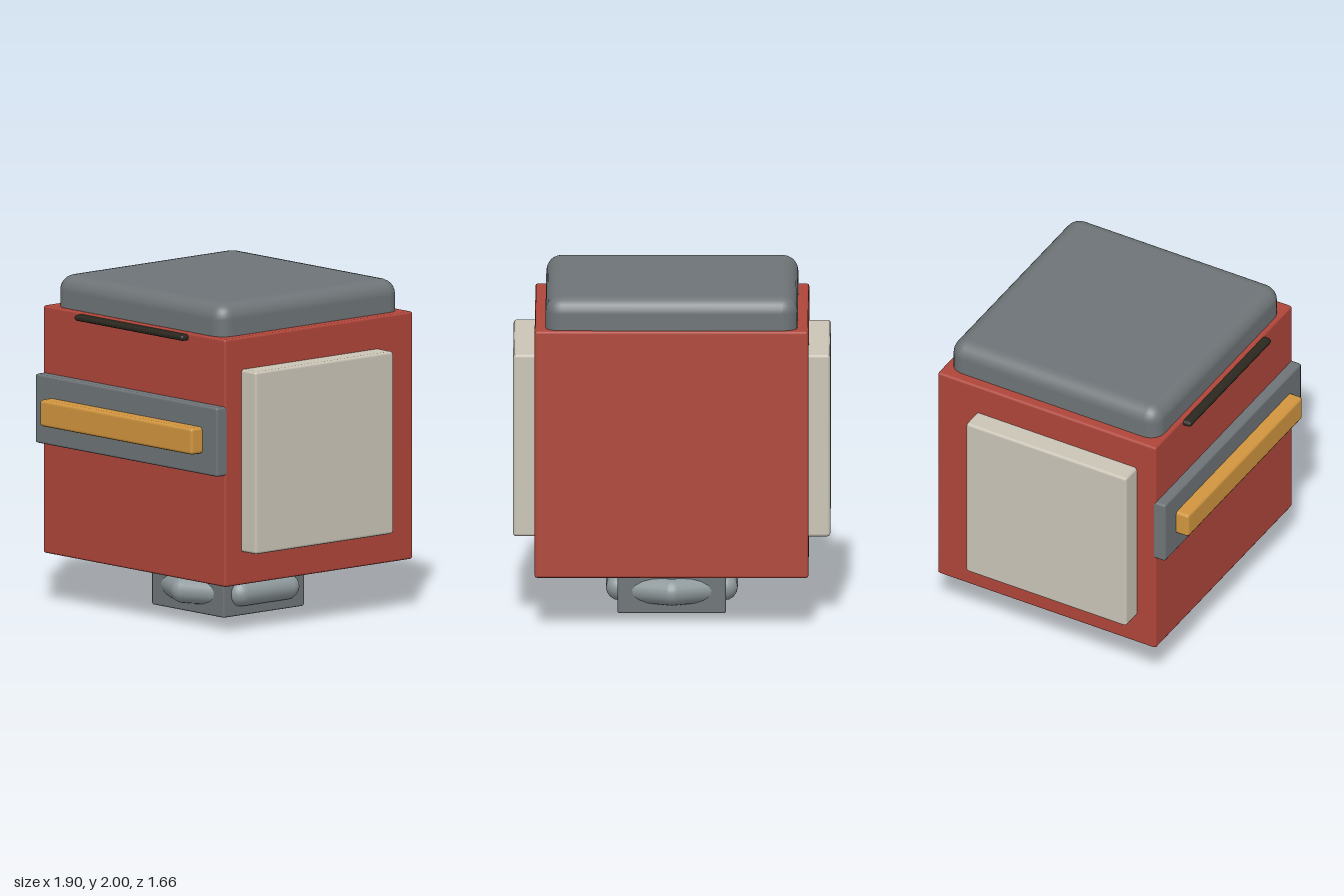
import * as THREE from 'three';
import { RoundedBoxGeometry } from 'three/addons/geometries/RoundedBoxGeometry.js';

const material = (name, color) => {
  const m = new THREE.MeshStandardMaterial({ color });
  m.name = name;
  return m;
};

export function createModel() {
  const group = new THREE.Group();
  const red = material('red', 0xb0463a);
  const grey = material('grey', 0x6e7477);
  const lightGrey = material('light grey', 0x8f999c);
  const cream = material('cream', 0xcbc5b7);
  const amber = material('amber', 0xd2963f);
  const black = material('black', 0x2b2820);

  // Bevelled box given by its limits on each axis
  function box(name, mat, [x0, x1], [y0, y1], [z0, z1], bevel, segments = 1) {
    const geo = new RoundedBoxGeometry(x1 - x0, y1 - y0, z1 - z0, segments, bevel);
    const mesh = new THREE.Mesh(geo, mat);
    mesh.name = name;
    mesh.position.set((x0 + x1) / 2, (y0 + y1) / 2, (z0 + z1) / 2);
    group.add(mesh);
  }

  // Capsule between two points, ends rounded beyond them
  function capsule(name, a, b, radius) {
    const from = new THREE.Vector3(...a), to = new THREE.Vector3(...b);
    const dir = to.clone().sub(from);
    const mesh = new THREE.Mesh(new THREE.CapsuleGeometry(radius, dir.length(), 6, 16), lightGrey);
    mesh.name = name;
    mesh.position.copy(from).add(to).multiplyScalar(0.5);
    mesh.quaternion.setFromUnitVectors(new THREE.Vector3(0, 1, 0), dir.normalize());
    group.add(mesh);
  }

  // Head block and cap
  box('head', red, [-0.82, 0.82], [0.3, 1.805], [-0.83, 0.68], 0.015);
  box('cap', grey, [-0.755, 0.755], [1.6, 2], [-0.795, 0.65], 0.095, 3);

  // Face: visor plate, light bar and brow slot
  box('visorPlate', grey, [-0.819, 0.819], [0.977, 1.397], [0.5, 0.745], 0.015);
  box('lightBar', amber, [-0.687, 0.687], [1.103, 1.265], [0.7, 0.83], 0.02);
  box('browSlot', black, [-0.49, 0.49], [1.758, 1.795], [0.64, 0.73], 0.018);

  // Side pads
  for (const [name, s] of [['leftPad', 1], ['rightPad', -1]]) {
    box(name, cream, s > 0 ? [0.8, 0.95] : [-0.95, -0.8], [0.5, 1.61], [-0.56, 0.55], 0.018);
  }

  // Neck with padded rolls around it
  box('neck', grey, [-0.325, 0.325], [0, 0.4], [-0.4, 0.25], 0.012);
  const y = 0.135, r = 0.08, mid = -0.075;
  for (const s of [1, -1]) {
    capsule('neckSideRoll', [s * 0.315, y, mid - 0.185], [s * 0.315, y, mid + 0.185], r);
    // Front and back rolls slope from the middle into the neck
    for (const f of [1, -1]) {
      capsule('neckSlopedRoll', [0, y, mid + f * 0.355], [s * 0.24, y, mid + f * 0.235], r);
    }
  }
  return group;
}
